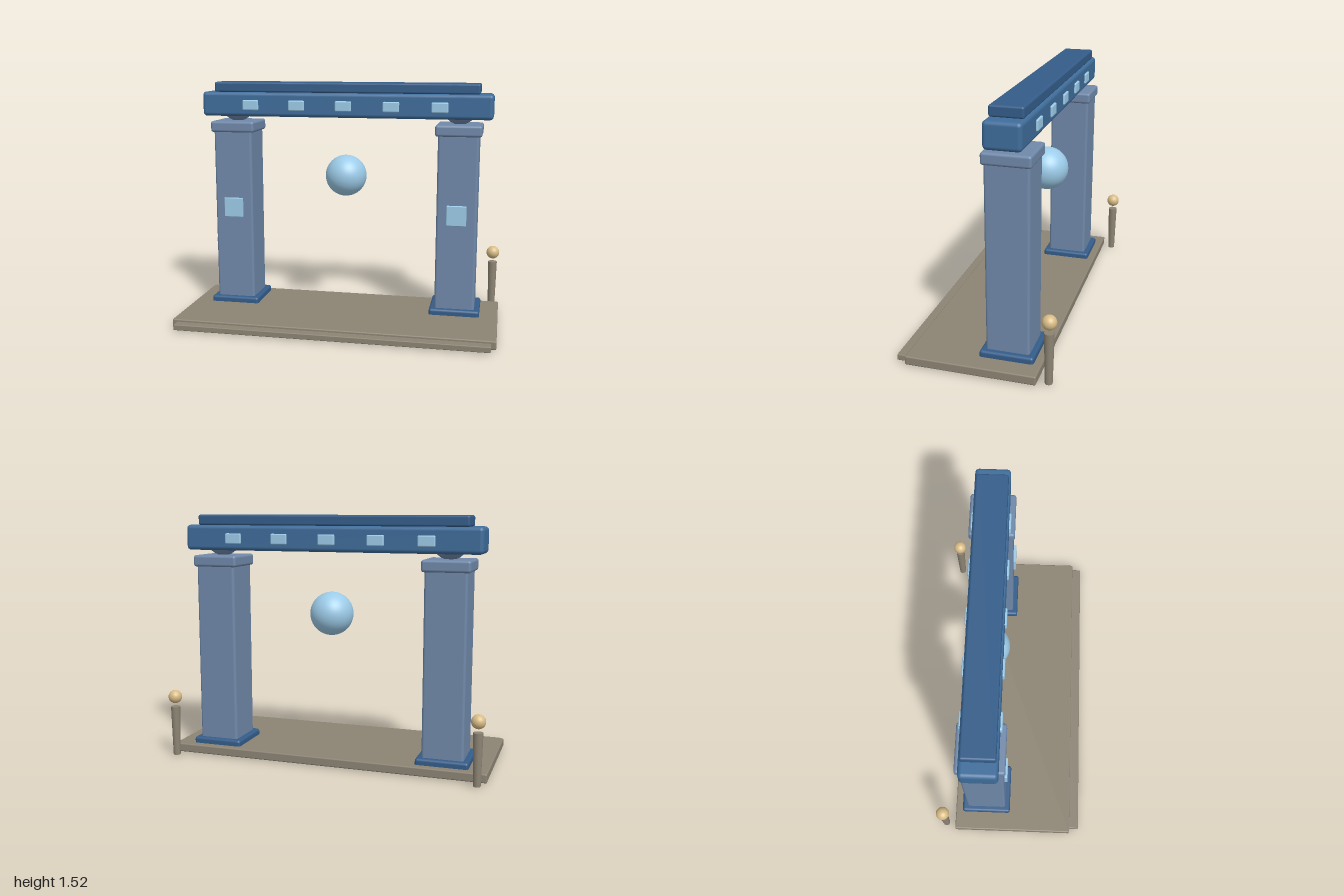
import * as THREE from 'three';
import { RoundedBoxGeometry } from 'three/addons/geometries/RoundedBoxGeometry.js';

const paint = (color) => new THREE.MeshStandardMaterial({ color });
const stone = paint(0x8c8474);
const slate = paint(0x7089aa);
const blue = paint(0x3f6d9b);
const deepBlue = paint(0x345d8a);
const glow = paint(0x9ccbe8);
const gold = paint(0xd8bc86);

const GATE_Z = -0.16; // depth line shared by pillars, beam and orb

export function createModel() {
  const model = new THREE.Group();
  model.name = 'gateway';

  const add = (parent, name, geometry, material, x, y, z) => {
    const mesh = new THREE.Mesh(geometry, material);
    mesh.name = name;
    mesh.position.set(x, y, z);
    parent.add(mesh);
    return mesh;
  };
  // Soft-edged block given by its bottom and top heights
  const block = (parent, name, material, w, y0, y1, d, x, z, r) =>
    add(parent, name, new RoundedBoxGeometry(w, y1 - y0, d, 3, r), material, x, (y0 + y1) / 2, z);

  // Floor slab with a low front step
  block(model, 'platform', stone, 2, 0.006, 0.06, 0.77, 0, 0.02, 0.008);
  block(model, 'frontStep', stone, 1.94, 0.009, 0.045, 0.16, 0, 0.385, 0.005);

  for (const side of [-1, 1]) {
    const label = side > 0 ? 'left' : 'right';

    // Pillar with footing, capital, bearing ball and front plaque
    const pillar = new THREE.Group();
    pillar.name = label + 'Pillar';
    pillar.position.set(side * 0.725, 0, GATE_Z);
    model.add(pillar);
    block(pillar, 'footing', deepBlue, 0.318, 0, 0.098, 0.318, 0, 0, 0.016);
    block(pillar, 'shaft', slate, 0.252, 0.02, 1.21, 0.256, 0, 0, 0.016);
    block(pillar, 'capital', slate, 0.288, 1.195, 1.266, 0.282, 0, 0, 0.016);
    add(pillar, 'bearingBall', new THREE.SphereGeometry(0.107, 32, 20), slate, 0, 1.367, 0);
    block(pillar, 'plaque', glow, 0.124, 0.64, 0.766, 0.03, 0, 0.13, 0.004);

    // Lamp post at the rear corner
    const lamp = new THREE.Group();
    lamp.name = label + 'LampPost';
    lamp.position.set(side * 0.953, 0, -0.427);
    model.add(lamp);
    add(lamp, 'post', new THREE.CylinderGeometry(0.029, 0.022, 0.312, 20), stone, 0, 0.164, 0);
    add(lamp, 'lampBall', new THREE.SphereGeometry(0.042, 24, 16), gold, 0, 0.383, 0);
  }

  // Lintel with its top rail and a row of lights showing on both faces
  block(model, 'lintel', blue, 1.864, 1.297, 1.453, 0.214, 0, GATE_Z, 0.024);
  block(model, 'topRail', deepBlue, 1.7, 1.452, 1.516, 0.193, 0, GATE_Z, 0.012);
  for (let i = -2; i <= 2; i++) {
    block(model, 'lintelLight', glow, 0.104, 1.338, 1.403, 0.238, i * 0.303, GATE_Z, 0.008);
  }

  // Floating orb in the opening
  add(model, 'orb', new THREE.SphereGeometry(0.133, 40, 28), glow, 0, 0.918, GATE_Z);

  return model;
}
